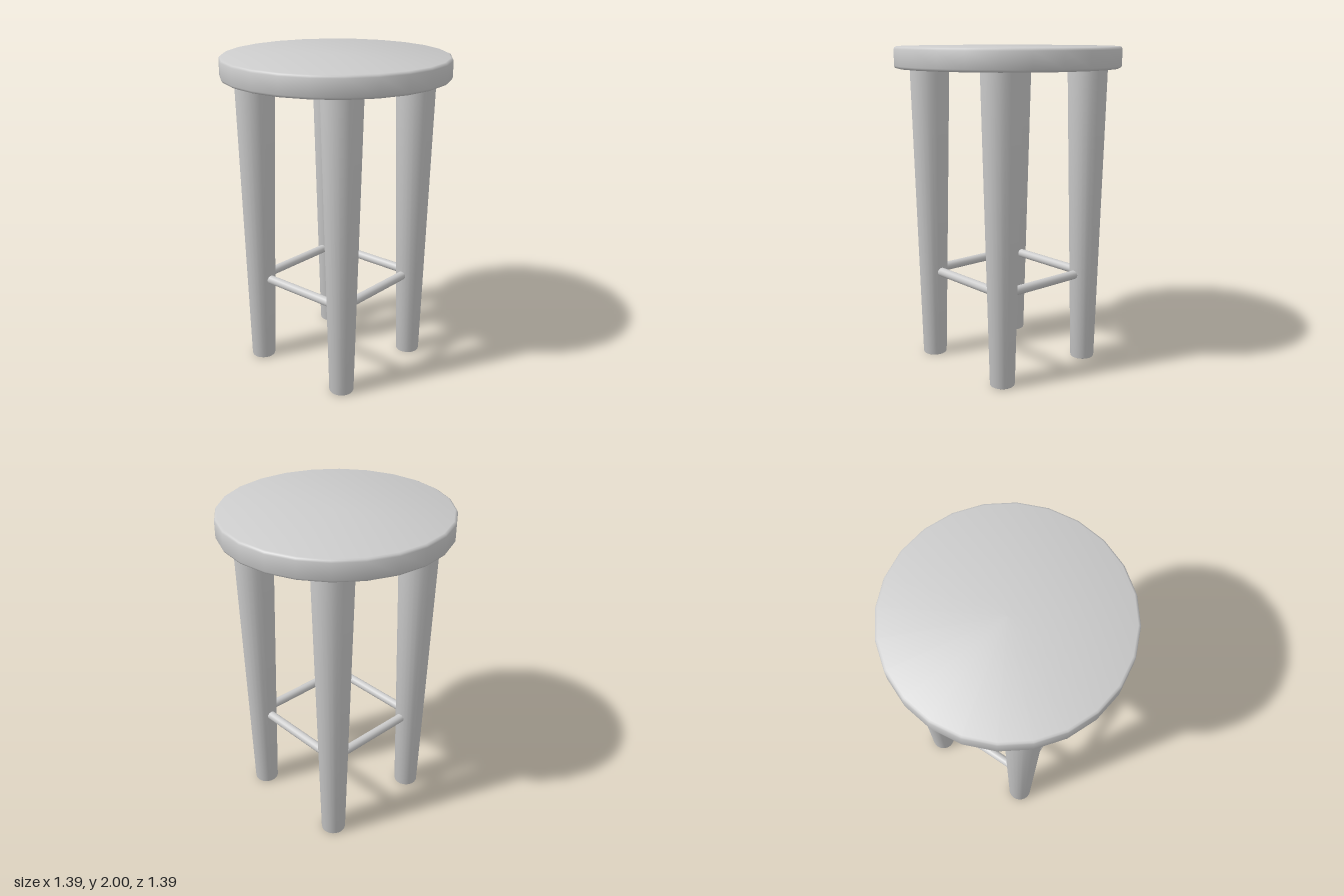
import * as THREE from 'three';
import { toCreasedNormals } from 'three/addons/utils/BufferGeometryUtils.js';

const material = new THREE.MeshStandardMaterial({ color: 0xcccccc });

// Turned part from [radius, y] points, listed bottom to top
function turned(points, segments) {
  const profile = points.map(([r, y]) => new THREE.Vector2(r, y));
  return toCreasedNormals(new THREE.LatheGeometry(profile, segments), 0.75);
}

export function createModel() {
  const stool = new THREE.Group();
  stool.name = 'stool';

  function add(name, geometry, x, y, z) {
    const mesh = new THREE.Mesh(geometry, material);
    mesh.name = name;
    mesh.position.set(x, y, z);
    stool.add(mesh);
    return mesh;
  }

  // Round seat with softened rims
  const seat = turned([
    [0, 1.87], [0.679, 1.87], [0.69, 1.875], [0.695, 1.886],
    [0.695, 1.984], [0.69, 1.995], [0.679, 2], [0, 2],
  ], 24);
  add('seat', seat, 0, 0, 0);

  // Tapered legs with a small bevel at the foot
  const offset = 0.345;
  const leg = turned([
    [0, 0], [0.069, 0], [0.074, 0.003], [0.076, 0.01], [0.123, 1.88], [0, 1.88],
  ], 24);
  for (const [side, x] of [['Left', offset], ['Right', -offset]]) {
    add(`front${side}Leg`, leg, x, 0, offset);
    add(`back${side}Leg`, leg, x, 0, -offset);
  }

  // Four rungs joining neighbouring legs
  const rung = new THREE.CylinderGeometry(0.028, 0.028, 0.54, 16);
  const rungY = 0.57;
  add('frontRung', rung, 0, rungY, offset).rotation.z = Math.PI / 2;
  add('backRung', rung, 0, rungY, -offset).rotation.z = Math.PI / 2;
  add('leftRung', rung, offset, rungY, 0).rotation.x = Math.PI / 2;
  add('rightRung', rung, -offset, rungY, 0).rotation.x = Math.PI / 2;

  return stool;
}
